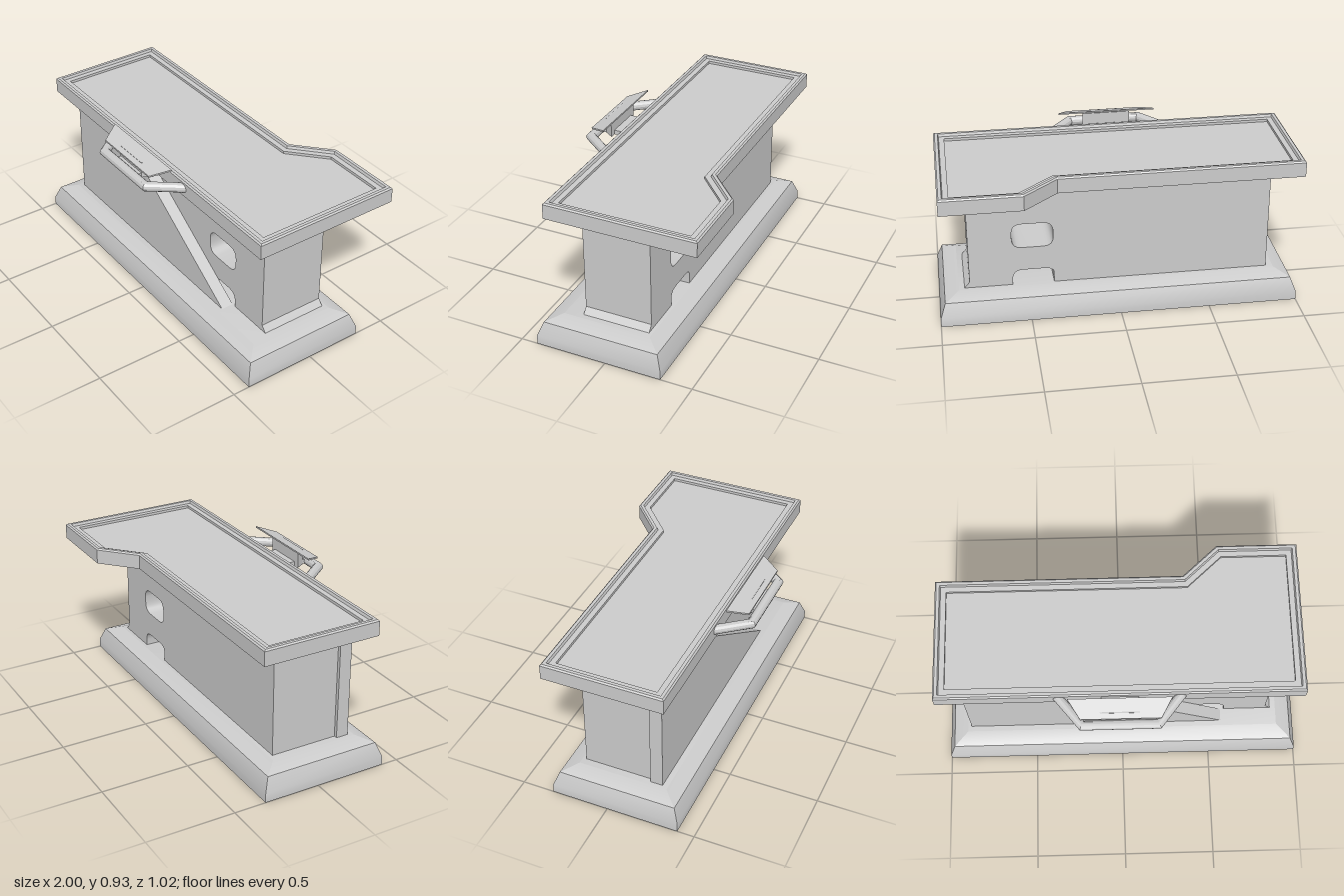
import * as THREE from 'three';
import { toCreasedNormals } from 'three/addons/utils/BufferGeometryUtils.js';

const material = new THREE.MeshStandardMaterial({ color: 0xcccccc });

function addPart(group, name, geometry) {
  const mesh = new THREE.Mesh(toCreasedNormals(geometry, 0.5), material);
  mesh.name = name;
  group.add(mesh);
  return mesh;
}

// Mitred inset of an [x, z] outline that runs counter-clockwise seen from above
function inset(outline, d) {
  const n = outline.length;
  const normal = (i) => {
    const a = outline[i % n], b = outline[(i + 1) % n];
    const dx = b[0] - a[0], dz = b[1] - a[1], l = Math.hypot(dx, dz);
    return [dz / l, -dx / l];
  };
  return outline.map(([x, z], i) => {
    const p = normal(i + n - 1), q = normal(i);
    const k = d / (1 + p[0] * q[0] + p[1] * q[1]);
    return [x + (p[0] + q[0]) * k, z + (p[1] + q[1]) * k];
  });
}

function buildGeometry(positions, index) {
  const g = new THREE.BufferGeometry();
  g.setAttribute('position', new THREE.Float32BufferAttribute(positions, 3));
  g.setIndex(index);
  return g;
}

// Solid from an outline and a profile of [inset, y] pairs, capped at both ends
function loft(outline, profile) {
  const n = outline.length, positions = [], index = [];
  const rings = profile.map(([d]) => inset(outline, d));
  profile.forEach(([, y], k) => {
    for (const [x, z] of rings[k]) positions.push(x, y, z);
    if (k === 0) return;
    for (let i = 0; i < n; i++) {
      const j = (i + 1) % n, lo = (k - 1) * n, hi = k * n;
      index.push(lo + i, lo + j, hi + j, lo + i, hi + j, hi + i);
    }
  });
  const last = rings.length - 1;
  const cap = (ring) => THREE.ShapeUtils.triangulateShape(ring.map(([x, z]) => new THREE.Vector2(x, -z)), []);
  for (const [a, b, c] of cap(rings[0])) index.push(a, c, b);
  for (const [a, b, c] of cap(rings[last])) index.push(last * n + a, last * n + b, last * n + c);
  return buildGeometry(positions, index);
}

// Level round rail along [x, z] points, mitred at the bends
function rail(path, y, r, sides) {
  const positions = [], index = [];
  const side = (i) => {
    const dx = path[i + 1][0] - path[i][0], dz = path[i + 1][1] - path[i][1], l = Math.hypot(dx, dz);
    return [-dz / l, dx / l];
  };
  path.forEach(([x, z], i) => {
    const p = side(Math.max(i - 1, 0)), q = side(Math.min(i, path.length - 2));
    const k = r / (1 + p[0] * q[0] + p[1] * q[1]);
    for (let s = 0; s < sides; s++) {
      const t = (s / sides) * Math.PI * 2, c = Math.cos(t) * k;
      positions.push(x + (p[0] + q[0]) * c, y + Math.sin(t) * r, z + (p[1] + q[1]) * c);
      if (i === 0) continue;
      const u = (s + 1) % sides, lo = (i - 1) * sides, hi = i * sides;
      index.push(lo + s, hi + s, hi + u, lo + s, hi + u, lo + u);
    }
  });
  return buildGeometry(positions, index);
}

function extrude(shape, z, depth) {
  return new THREE.ExtrudeGeometry(shape, { depth, bevelEnabled: false, curveSegments: 4 }).translate(0, 0, z);
}

export function createModel() {
  const model = new THREE.Group();
  model.name = 'counterDesk';

  // Stepped plinth with a sloping shoulder
  addPart(model, 'base', loft(
    [[-1, 0.405], [1, 0.405], [1, -0.32], [-1, -0.32]],
    [[0, 0], [0, 0.05], [0.03, 0.13], [0.11, 0.16]]));

  // Pedestal body: notched top and bottom, rounded window between
  const l = 0.36, r = 0.59, c = 0.055, bottom = 0.155, top = 0.805;
  const body = new THREE.Shape();
  body.moveTo(-0.85, bottom);
  body.lineTo(l, bottom);
  body.lineTo(l, 0.25 - c / 2);
  body.quadraticCurveTo(l, 0.25, l + c, 0.25);
  body.lineTo(r - c, 0.25);
  body.quadraticCurveTo(r, 0.25, r, 0.25 - c);
  body.lineTo(r, bottom);
  body.lineTo(0.863, bottom);
  body.lineTo(0.83, 0.195);
  body.lineTo(0.83, top);
  body.lineTo(r, top);
  body.lineTo(r, 0.675 + c);
  body.quadraticCurveTo(r, 0.675, r - c, 0.675);
  body.lineTo(l + c, 0.675);
  body.quadraticCurveTo(l, 0.675, l, 0.675 + c);
  body.lineTo(l, top);
  body.lineTo(-0.85, top);
  body.closePath();
  const window = new THREE.Path();
  const y0 = 0.39, y1 = 0.535;
  window.moveTo(l + c, y0);
  window.lineTo(r - c, y0);
  window.quadraticCurveTo(r, y0, r, y0 + c);
  window.lineTo(r, y1 - c);
  window.quadraticCurveTo(r, y1, r - c, y1);
  window.lineTo(l + c, y1);
  window.quadraticCurveTo(l, y1, l, y1 - c);
  window.lineTo(l, y0 + c);
  window.quadraticCurveTo(l, y0, l + c, y0);
  body.holes.push(window);
  addPart(model, 'pedestalBody', extrude(body, -0.19, 0.385));

  // Raised front panel with a diagonal edge
  const panel = new THREE.Shape([[-0.87, 0.155], [0.577, 0.155], [-0.405, 0.802], [-0.87, 0.802]]
    .map(([x, y]) => new THREE.Vector2(x, y)));
  addPart(model, 'frontPanel', extrude(panel, 0.195, 0.07));

  // Tabletop: raised rim, inner ledge, sunken surface and recessed underside
  addPart(model, 'tabletop', loft(
    [[-1, 0.335], [0.975, 0.335], [0.975, -0.513], [0.535, -0.513], [0.345, -0.34], [-1, -0.34]],
    [[0.03, 0.8], [0.03, 0.785], [0, 0.785], [0, 0.867], [0.008, 0.875], [0.025, 0.875],
      [0.03, 0.86], [0.06, 0.86], [0.06, 0.845]]));

  // Console on the front: rail, stand and tilted display plate
  const consoleGroup = new THREE.Group();
  consoleGroup.name = 'console';
  model.add(consoleGroup);
  addPart(consoleGroup, 'consoleRail',
    rail([[-0.355, 0.31], [-0.216, 0.485], [0.186, 0.485], [0.325, 0.31]], 0.833, 0.026, 12));
  addPart(consoleGroup, 'consoleStand', loft(
    [[-0.12, 0.445], [0.085, 0.445], [0.12, 0.395], [-0.15, 0.395]], [[0, 0.82], [0, 0.91]]));
  addPart(consoleGroup, 'consoleBracket', new THREE.BoxGeometry(0.2, 0.025, 0.16).translate(-0.015, 0.833, 0.405));
  const plate = loft(
    [[-0.225, 0.473], [0.2, 0.473], [0.26, 0.37], [-0.29, 0.37]], [[0, 0.89], [0, 0.899]]);
  const p = plate.attributes.position;
  for (let i = 0; i < p.count; i++) p.setY(i, p.getY(i) + (0.473 - p.getZ(i)) * 0.32);
  addPart(consoleGroup, 'displayPlate', plate);

  return model;
}
